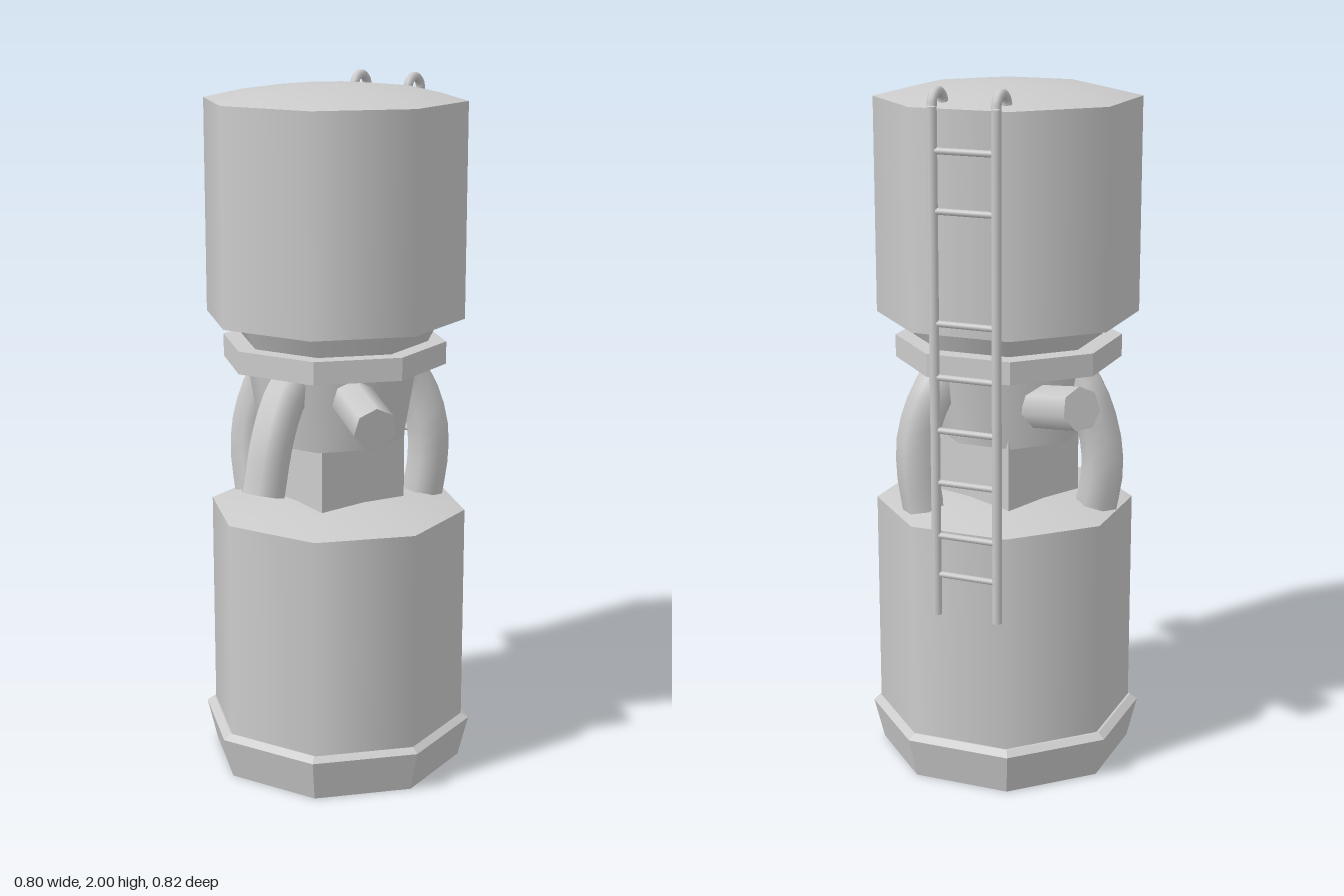
import * as THREE from 'three';

export function createModel() {
  const root = new THREE.Group();
  const smooth = new THREE.MeshStandardMaterial({ color: 0xcccccc });
  const flat = new THREE.MeshStandardMaterial({ color: 0xcccccc, flatShading: true });

  const add = (name, geo, mat = smooth, parent = root) => {
    const mesh = new THREE.Mesh(geo, mat);
    mesh.name = name;
    parent.add(mesh);
    return mesh;
  };

  // Eight-sided drum between two heights, corners on the x and z axes
  const drum = (name, rTop, rBottom, y0, y1, x = 0, z = 0, mat = smooth, open = false) => {
    const mesh = add(name, new THREE.CylinderGeometry(rTop, rBottom, y1 - y0, 8, 1, open), mat);
    mesh.position.set(x, (y0 + y1) / 2, z);
  };

  // Shallow eight-sided dome
  const dome = (name, r, y, h, z) => {
    const profile = [[r, 0], [r * 0.7, h * 0.58], [r * 0.35, h * 0.9], [0, h]];
    const mesh = add(name, new THREE.LatheGeometry(profile.map(p => new THREE.Vector2(...p)), 8));
    mesh.position.set(0, y, z);
  };

  // Base and lower tank
  drum('base', 0.4, 0.37, 0, 0.12, 0, 0.01, flat);
  drum('baseLip', 0.378, 0.4, 0.12, 0.135, 0, 0.01, flat);
  drum('lowerTank', 0.375, 0.375, 0.13, 0.77, 0, 0.014);
  dome('lowerTankTop', 0.375, 0.77, 0.04, 0.014);

  // Column, funnel and collar between the tanks
  add('column', new THREE.BoxGeometry(0.29, 0.24, 0.29), flat).position.y = 0.88;
  drum('funnel', 0.25, 0.212, 0.98, 1.21, -0.012, 0);
  drum('collar', 0.325, 0.325, 1.2, 1.265, 0, -0.003, flat);
  drum('neck', 0.308, 0.268, 1.26, 1.34);

  // Upper tank
  drum('upperTank', 0.375, 0.375, 1.333, 1.943);
  dome('upperTankTop', 0.375, 1.943, 0.043, 0);

  // Seven-sided pipes, closed at the outer end
  const pipe = (name, points) => {
    const group = new THREE.Group();
    group.name = name;
    root.add(group);
    const curve = new THREE.CatmullRomCurve3(points.map(p => new THREE.Vector3(...p)));
    const tube = new THREE.TubeGeometry(curve, points.length > 2 ? 8 : 1, 0.062, 7);
    add('pipeWall', tube, smooth, group);
    // End cap fanned over the last ring of the tube
    const pos = tube.attributes.position;
    const first = pos.count - 8;
    const corners = [];
    const end = curve.getPoint(1).toArray();
    for (let i = 0; i < 7; i++) {
      for (const k of [i, i + 1]) {
        corners.push(pos.getX(first + k), pos.getY(first + k), pos.getZ(first + k));
      }
      corners.push(...end);
    }
    const cap = new THREE.BufferGeometry();
    cap.setAttribute('position', new THREE.Float32BufferAttribute(corners, 3));
    cap.computeVertexNormals();
    add('pipeEnd', cap, new THREE.MeshStandardMaterial({ color: 0xcccccc, side: THREE.DoubleSide }), group);
  };
  pipe('leftBentPipe', [[0.19, 1.18, 0.06], [0.235, 1.11, 0.075], [0.265, 1, 0.095], [0.27, 0.9, 0.095], [0.255, 0.77, 0.085]]);
  pipe('backBentPipe', [[-0.07, 1.18, -0.19], [-0.085, 1.11, -0.235], [-0.11, 1, -0.262], [-0.12, 0.9, -0.265], [-0.12, 0.77, -0.24]]);
  pipe('rightHangingPipe', [[-0.18, 1.19, 0.07], [-0.245, 1.13, 0.095], [-0.3, 1.03, 0.12], [-0.34, 0.885, 0.135]]);
  pipe('frontStubPipe', [[-0.07, 1.14, 0.17], [-0.135, 1.095, 0.382]]);
  pipe('backStubPipe', [[0.07, 1.1, -0.19], [0.115, 1.142, -0.392]]);

  // Ladder: two hooked rails and eight rungs against one face of the tanks
  const ladder = new THREE.Group();
  ladder.name = 'ladder';
  root.add(ladder);
  const inward = new THREE.Vector3(-0.924, 0, 0.383);
  const rails = [[0.363, -0.077], [0.295, -0.247]];
  for (const [x, z] of rails) {
    const foot = new THREE.Vector3(x, 0.53, z);
    const path = new THREE.CurvePath();
    const shoulder = new THREE.Vector3(x, 1.95, z);
    path.add(new THREE.LineCurve3(foot, shoulder));
    add('rail', new THREE.TubeGeometry(path, 1, 0.0135, 8), smooth, ladder);
    const arc = [];
    for (let i = 0; i <= 6; i++) {
      const a = (i / 6) * Math.PI;
      arc.push(shoulder.clone().addScaledVector(inward, 0.038 * (1 - Math.cos(a)))
        .add(new THREE.Vector3(0, 0.037 * Math.sin(a), 0)));
    }
    add('railHook', new THREE.TubeGeometry(new THREE.CatmullRomCurve3(arc), 12, 0.0135, 8), smooth, ladder);
    const bottom = add('railFoot', new THREE.CircleGeometry(0.0135, 8), smooth, ladder);
    bottom.rotation.x = Math.PI / 2;
    bottom.position.copy(foot);
  }
  for (const y of [0.65, 0.765, 0.92, 1.07, 1.22, 1.37, 1.675, 1.835]) {
    const [a, b] = rails.map(([x, z]) => new THREE.Vector3(x, y, z));
    add('rung', new THREE.TubeGeometry(new THREE.LineCurve3(a, b), 1, 0.009, 6), smooth, ladder);
  }

  return root;
}
